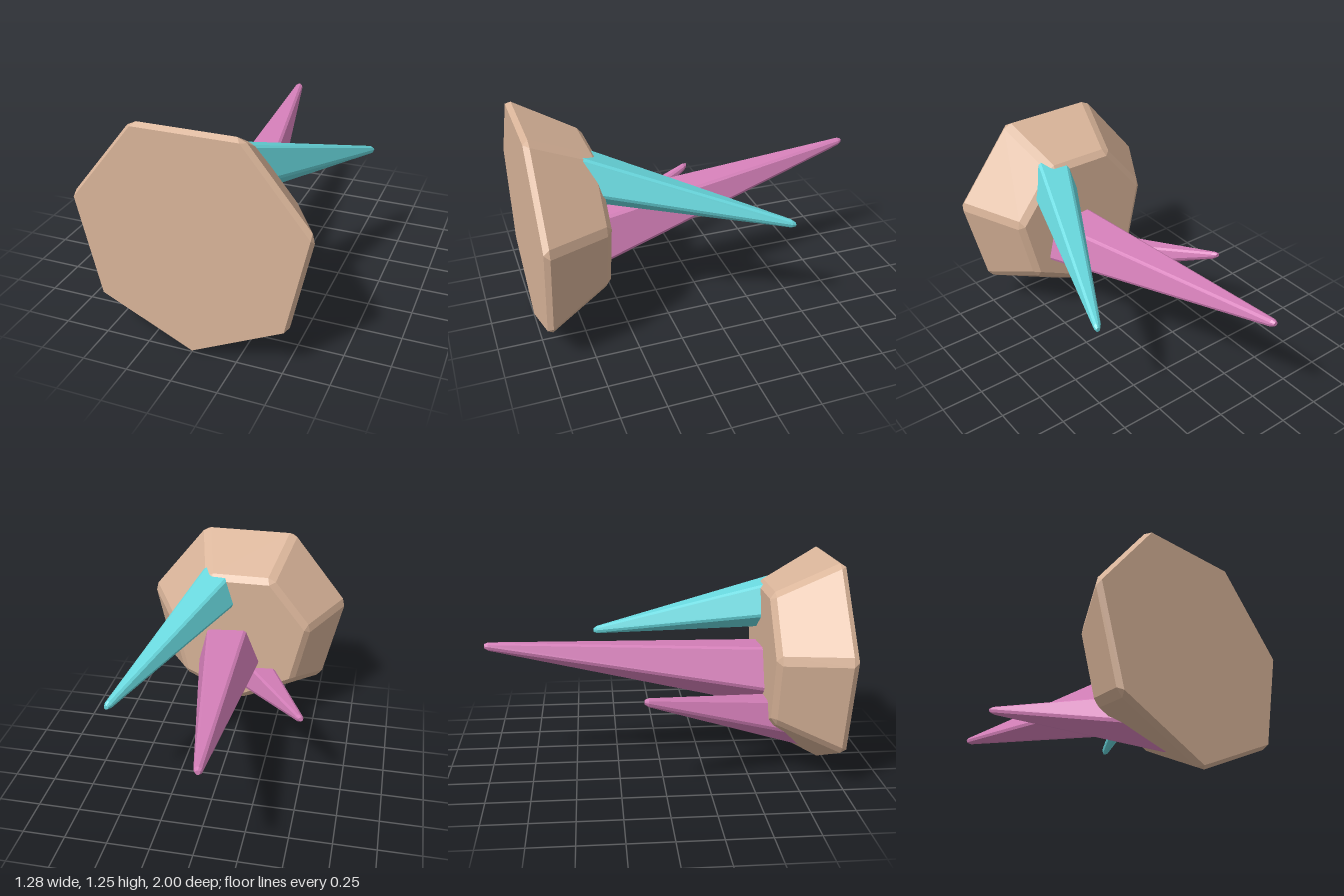
import * as THREE from 'three';

const tan = new THREE.MeshStandardMaterial({ color: 0xd9b499 });
tan.name = 'tan stone';
const pink = new THREE.MeshStandardMaterial({ color: 0xd680ba });
pink.name = 'pink crystal';
const cyan = new THREE.MeshStandardMaterial({ color: 0x68d8de });
cyan.name = 'cyan crystal';

// Regular polygon with every corner cut off at distance cut along its edges
function ringPoints(sides, turn, { x, y, z, r, cut }) {
  const corner = (k) => {
    const a = turn + (k / sides) * Math.PI * 2;
    return new THREE.Vector3(x + r * Math.cos(a), y + r * Math.sin(a), z);
  };
  const points = [];
  for (let k = 0; k < sides; k++) {
    const p = corner(k);
    for (const step of [-1, 1]) {
      const dir = corner(k + step).sub(p).normalize();
      points.push(p.clone().addScaledVector(dir, cut));
    }
  }
  return points;
}

// Flat-faced, capped loft through rings listed from front (+z) to back
function loft(sides, turn, rings) {
  const loops = rings.map((ring) => ringPoints(sides, turn, ring));
  const n = sides * 2;
  const pos = [];
  const tri = (a, b, c) => {
    const area = b.clone().sub(a).cross(c.clone().sub(a)).length();
    if (area > 1e-9) for (const p of [a, b, c]) pos.push(p.x, p.y, p.z);
  };
  for (let s = 0; s < loops.length - 1; s++) {
    const f = loops[s], b = loops[s + 1];
    for (let i = 0; i < n; i++) {
      const j = (i + 1) % n;
      tri(f[i], b[i], f[j]);
      tri(f[j], b[i], b[j]);
    }
  }
  const first = loops[0], last = loops[loops.length - 1];
  for (let i = 1; i < n - 1; i++) {
    tri(first[0], first[i], first[i + 1]);
    tri(last[0], last[i + 1], last[i]);
  }
  const geometry = new THREE.BufferGeometry();
  geometry.setAttribute('position', new THREE.Float32BufferAttribute(pos, 3));
  geometry.computeVertexNormals();
  return geometry;
}

// Five-sided spike: root is its centre where it leaves the base (z = 0.61)
function spike(name, material, root, tip, radius, turnDegrees, inside) {
  const rootZ = 0.61, tipR = 0.026;
  const at = (z, scale, cut) => {
    const t = (z - tip[2]) / (rootZ - tip[2]);
    return {
      x: THREE.MathUtils.lerp(tip[0], root[0], t),
      y: THREE.MathUtils.lerp(tip[1], root[1], t),
      z,
      r: THREE.MathUtils.lerp(tipR, radius, t) * scale,
      cut,
    };
  };
  const geometry = loft(5, THREE.MathUtils.degToRad(turnDegrees), [
    at(inside, 1, 0.013),
    at(tip[2] + 0.022, 1, 0.011),
    at(tip[2], 0.6, 0.006),
  ]);
  const mesh = new THREE.Mesh(geometry, material);
  mesh.name = name;
  return mesh;
}

export function createModel() {
  const model = new THREE.Group();
  model.name = 'crystalCluster';

  // Seven-sided base, bevelled and tapering to the back
  const level = (z, r, cut) => ({ x: 0, y: 0.651, z, r, cut });
  const base = new THREE.Mesh(
    loft(7, -Math.PI / 2, [
      level(1, 0.645, 0),
      level(0.97, 0.664, 0.03),
      level(0.635, 0.472, 0.03),
      level(0.605, 0.43, 0),
    ]),
    tan
  );
  base.name = 'base';
  model.add(base);

  // Spikes
  model.add(
    spike('largeSpike', pink, [0.07, 0.53], [-0.095, 0.775, -1], 0.213, 50, 0.8),
    spike('smallSpike', pink, [-0.165, 0.335], [-0.495, 0.56, -0.12], 0.135, 50, 0.93),
    spike('mediumSpike', cyan, [0.18, 0.93], [0.575, 0.667, -0.38], 0.155, 55, 0.85)
  );
  return model;
}
